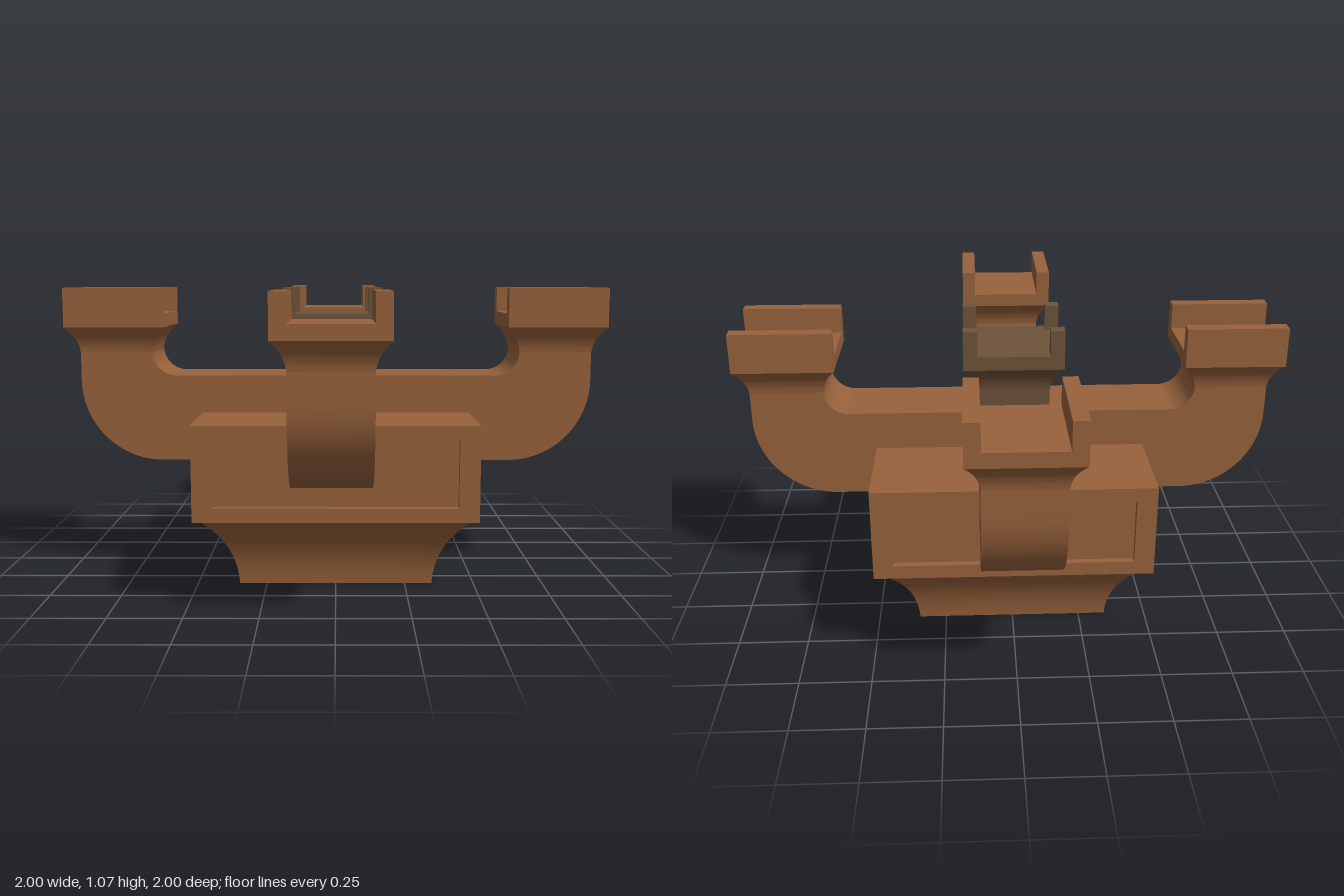
import * as THREE from 'three';
import { toCreasedNormals } from 'three/addons/utils/BufferGeometryUtils.js';

const wood = new THREE.MeshStandardMaterial({ color: 0x98623c });
wood.name = 'brown wood';
const darkWood = new THREE.MeshStandardMaterial({ color: 0x6e533a });
darkWood.name = 'grey brown wood';

const HALF = 0.1335;   // half width of arms and necks
const CAP = 0.183;     // half width of the cups on top
const ARM_X = 0.817;   // distance of each cup from the middle
const OFF_X = -0.0125, OFF_Z = 0.0085;

function mesh(name, geometry, material, parent, x = 0, y = 0, z = 0) {
  const m = new THREE.Mesh(geometry, material);
  m.name = name;
  m.position.set(x, y, z);
  parent.add(m);
  return m;
}

const box = (w, h, d) => new THREE.BoxGeometry(w, h, d);

// Square body whose half width follows a profile of (half width, y)
function squareLoft(profile) {
  const pts = profile.map(p => new THREE.Vector2(p.x * Math.SQRT2, p.y));
  pts.unshift(new THREE.Vector2(0, pts[0].y));
  pts.push(new THREE.Vector2(0, pts[pts.length - 1].y));
  return toCreasedNormals(new THREE.LatheGeometry(pts, 4, Math.PI / 4), 0.5);
}

// Concave flare from half width a at y0 to b at y1
function flare(a, b, y0, y1, bend) {
  return new THREE.QuadraticBezierCurve(
    new THREE.Vector2(a, y0),
    new THREE.Vector2(a + (b - a) * 0.08, y0 + (y1 - y0) * bend),
    new THREE.Vector2(b, y1)
  ).getPoints(14);
}

function extrude(shape, depth) {
  const g = new THREE.ExtrudeGeometry(shape, { depth, bevelEnabled: false, curveSegments: 20 });
  return toCreasedNormals(g, 0.5);
}

// Curved bracket arm reaching along +x, with a flared neck and an open channel cup
function makeArm(start) {
  const arm = new THREE.Group();
  const outer = ARM_X + HALF, inner = ARM_X - HALF;
  const s = new THREE.Shape();
  s.moveTo(start, 0.42);
  s.lineTo(outer - 0.3, 0.42);
  s.absarc(outer - 0.3, 0.72, 0.3, -Math.PI / 2, 0, false);
  s.lineTo(outer, 0.83);
  s.lineTo(inner, 0.83);
  s.absarc(inner - 0.09, 0.83, 0.09, 0, -Math.PI / 2, true);
  s.lineTo(start, 0.74);
  s.closePath();
  mesh('bracketArm', extrude(s, HALF * 2), wood, arm, 0, 0, -HALF);
  mesh('armNeck', squareLoft(flare(HALF, CAP, 0.825, 0.92, 0.55)), wood, arm, ARM_X);

  const wall = 0.052;
  const u = new THREE.Shape();
  [[-CAP, 0.92], [CAP, 0.92], [CAP, 1.065], [CAP - wall, 1.065], [CAP - wall, 0.97],
    [-CAP + wall, 0.97], [-CAP + wall, 1.065], [-CAP, 1.065]]
    .forEach(([x, y], i) => (i ? u.lineTo(x, y) : u.moveTo(x, y)));
  u.closePath();
  const cup = mesh('armCup', extrude(u, CAP * 2), wood, arm, ARM_X - CAP);
  cup.rotation.y = Math.PI / 2;
  return arm;
}

// Framed face of the block, with a U-shaped sunken panel around the arm
function makeFace(width, depth, notch) {
  const w = width / 2;
  const s = new THREE.Shape();
  s.moveTo(-w, 0.26);
  s.lineTo(w, 0.26);
  s.lineTo(w, 0.6);
  s.lineTo(-w, 0.6);
  s.closePath();
  const h = new THREE.Path();
  [[-0.428, 0.31], [-0.428, 0.55], [notch - 0.184, 0.55], [notch - 0.184, 0.37],
    [notch + 0.184, 0.37], [notch + 0.184, 0.55], [0.428, 0.55], [0.428, 0.31]]
    .forEach(([x, y], i) => (i ? h.lineTo(x, y) : h.moveTo(x, y)));
  h.closePath();
  s.holes.push(h);
  return extrude(s, depth);
}

export function createModel() {
  const model = new THREE.Group();
  model.name = 'woodenBracketSet';

  // Base block: flared foot, core and four framed faces
  const base = new THREE.Group();
  base.name = 'baseBlock';
  base.position.z = -0.003;
  model.add(base);
  mesh('flaredFoot', squareLoft(flare(0.348, 0.482, 0, 0.262, 0.6)), wood, base);
  const depth = 0.025, core = 1 - depth * 2;
  mesh('blockCore', box(core, 0.34, core), wood, base, 0, 0.43);
  for (let k = 0; k < 4; k++) {
    const notch = k < 2 ? -0.0125 : 0.0125;
    const side = new THREE.Group();
    side.name = 'framedSide';
    side.rotation.y = k * Math.PI / 2;
    mesh('sideFrame', makeFace(k % 2 ? core : 1, depth, notch), wood, side, 0, 0, 0.5 - depth);
    base.add(side);
  }

  // Four arms in a cross
  for (let k = 0; k < 4; k++) {
    const arm = makeArm(k % 2 ? HALF - 0.02 : 0);
    arm.name = ['leftArm', 'backArm', 'rightArm', 'frontArm'][k];
    arm.rotation.y = k * Math.PI / 2;
    if (k % 2) arm.position.x = OFF_X;
    else arm.position.z = OFF_Z;
    model.add(arm);
  }

  // Middle cup with a cross channel and four corner posts
  const centre = new THREE.Group();
  centre.name = 'centreCup';
  centre.position.set(OFF_X, 0, OFF_Z);
  model.add(centre);
  const neck = [new THREE.Vector2(HALF, 0.735), ...flare(HALF, CAP, 0.825, 0.92, 0.55)];
  mesh('centreNeck', squareLoft(neck), darkWood, centre);
  mesh('cupFloor', box(CAP * 2, 0.05, CAP * 2), darkWood, centre, 0, 0.945);
  const p = CAP - 0.026;
  for (const x of [-p, p]) {
    for (const z of [-p, p]) {
      mesh('cornerPost', box(0.052, 0.105, 0.052), darkWood, centre, x, 1.0125, z);
    }
  }
  return model;
}
